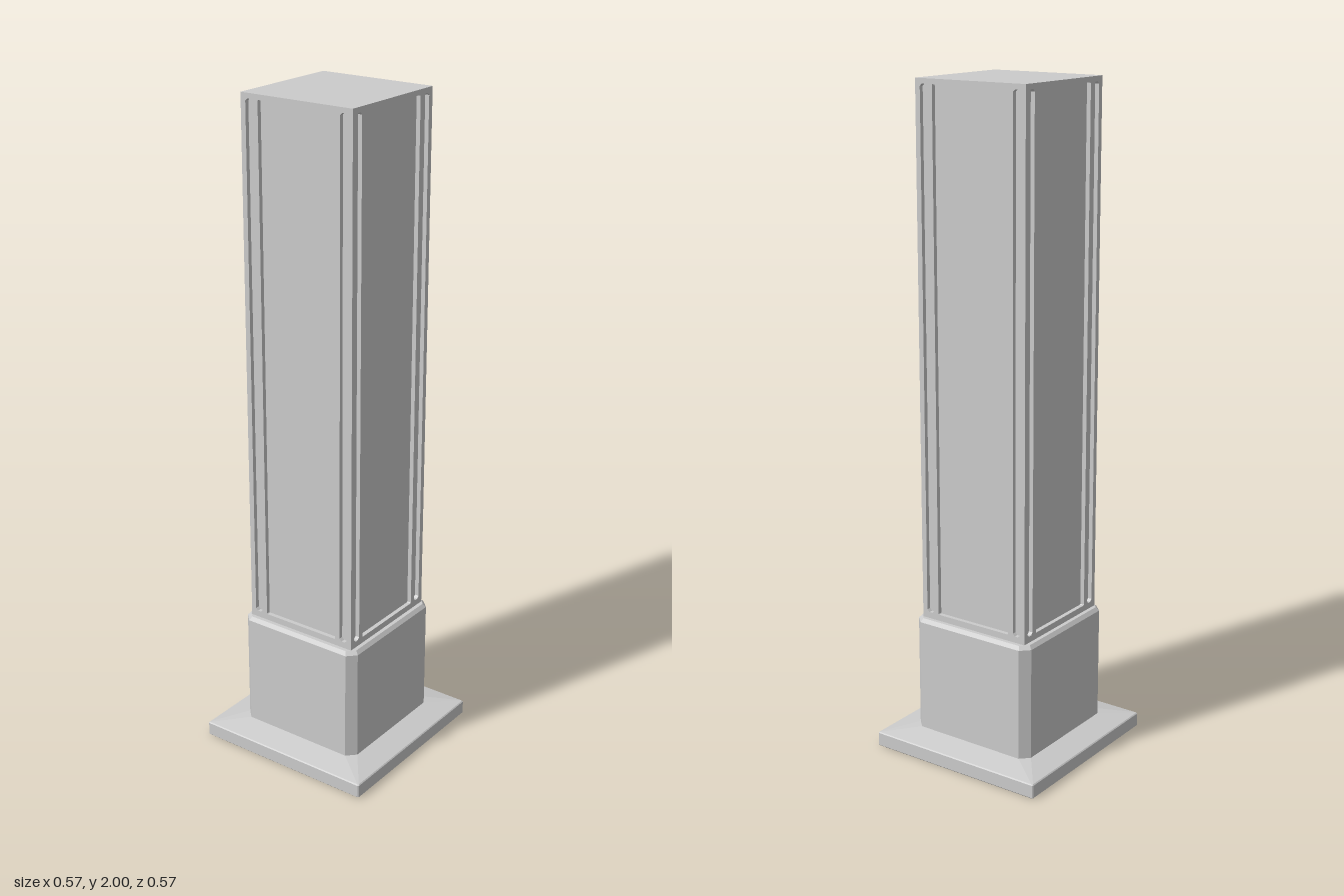
import * as THREE from 'three';

const material = new THREE.MeshStandardMaterial({ color: 0xcccccc, flatShading: true });

// Chamfered square outline, counter-clockwise seen from above
function outline(half, chamfer, y) {
  const k = half - chamfer;
  return [[half, k], [half, -k], [k, -half], [-k, -half], [-half, -k], [-half, k], [-k, half], [k, half]]
    .map(([x, z]) => new THREE.Vector3(x, y, z));
}

// Closed solid through a stack of [half width, chamfer, height] sections
function loft(name, sections) {
  const rings = sections.map((s) => outline(...s));
  const points = [];
  const bottom = new THREE.Vector3(0, sections[0][2], 0);
  const top = new THREE.Vector3(0, sections.at(-1)[2], 0);
  for (let i = 0; i < 8; i++) {
    const j = (i + 1) % 8;
    for (let r = 0; r < rings.length - 1; r++) {
      const a = rings[r], b = rings[r + 1];
      points.push(a[i], a[j], b[j], a[i], b[j], b[i]);
    }
    points.push(bottom, rings[0][j], rings[0][i]);
    points.push(top, rings.at(-1)[i], rings.at(-1)[j]);
  }
  const geometry = new THREE.BufferGeometry().setFromPoints(points);
  geometry.computeVertexNormals();
  const mesh = new THREE.Mesh(geometry, material);
  mesh.name = name;
  return mesh;
}

// Rectangle with cut corners
function panel(PathType, x0, x1, y0, y1, cut) {
  return new PathType([
    [x0 + cut, y0], [x1 - cut, y0], [x1, y0 + cut], [x1, y1 - cut],
    [x1 - cut, y1], [x0 + cut, y1], [x0, y1 - cut], [x0, y0 + cut],
  ].map(([x, y]) => new THREE.Vector2(x, y)));
}

export function createModel() {
  const model = new THREE.Group();
  model.name = 'column';

  // Square foot with a gently sloped top
  model.add(loft('footPlate', [
    [0.284, 0.003, 0], [0.287, 0.003, 0.003], [0.287, 0.003, 0.042],
    [0.284, 0.003, 0.045], [0.206, 0.026, 0.062],
  ]));

  // Plinth with chamfered corners and a bevelled rim
  model.add(loft('plinth', [
    [0.206, 0.026, 0.06], [0.206, 0.026, 0.404], [0.197, 0.022, 0.415],
  ]));

  // Shaft core forms the floors of the recesses
  const half = 0.185, depth = 0.013, y0 = 0.413, y1 = 2;
  const inner = half - depth;
  const core = new THREE.Mesh(new THREE.BoxGeometry(inner * 2, y1 - y0, inner * 2), material);
  core.name = 'shaftCore';
  core.position.y = (y0 + y1) / 2;
  model.add(core);

  // Frame with one wide panel and a narrow groove on each side
  const shape = new THREE.Shape();
  shape.moveTo(-half, y0).lineTo(half, y0).lineTo(half, y1).lineTo(-half, y1).closePath();
  shape.holes.push(
    panel(THREE.Path, -0.127, 0.127, 0.434, 1.985, 0.002),
    panel(THREE.Path, -0.169, -0.144, 0.434, 1.985, 0.007),
    panel(THREE.Path, 0.144, 0.169, 0.434, 1.985, 0.007),
  );
  const frame = new THREE.ExtrudeGeometry(shape, { depth, bevelEnabled: false });

  // Mitre the back edges so the four frames meet at the corners
  const pos = frame.attributes.position;
  for (let i = 0; i < pos.count; i++) {
    const x = pos.getX(i);
    if (pos.getZ(i) < depth / 2 && Math.abs(x) > 0.18) pos.setX(i, Math.sign(x) * inner);
  }
  frame.translate(0, 0, inner);
  frame.computeVertexNormals();

  ['front', 'left', 'back', 'right'].forEach((side, i) => {
    const mesh = new THREE.Mesh(frame, material);
    mesh.name = side + 'Frame';
    mesh.rotation.y = i * Math.PI / 2;
    model.add(mesh);
  });

  return model;
}
